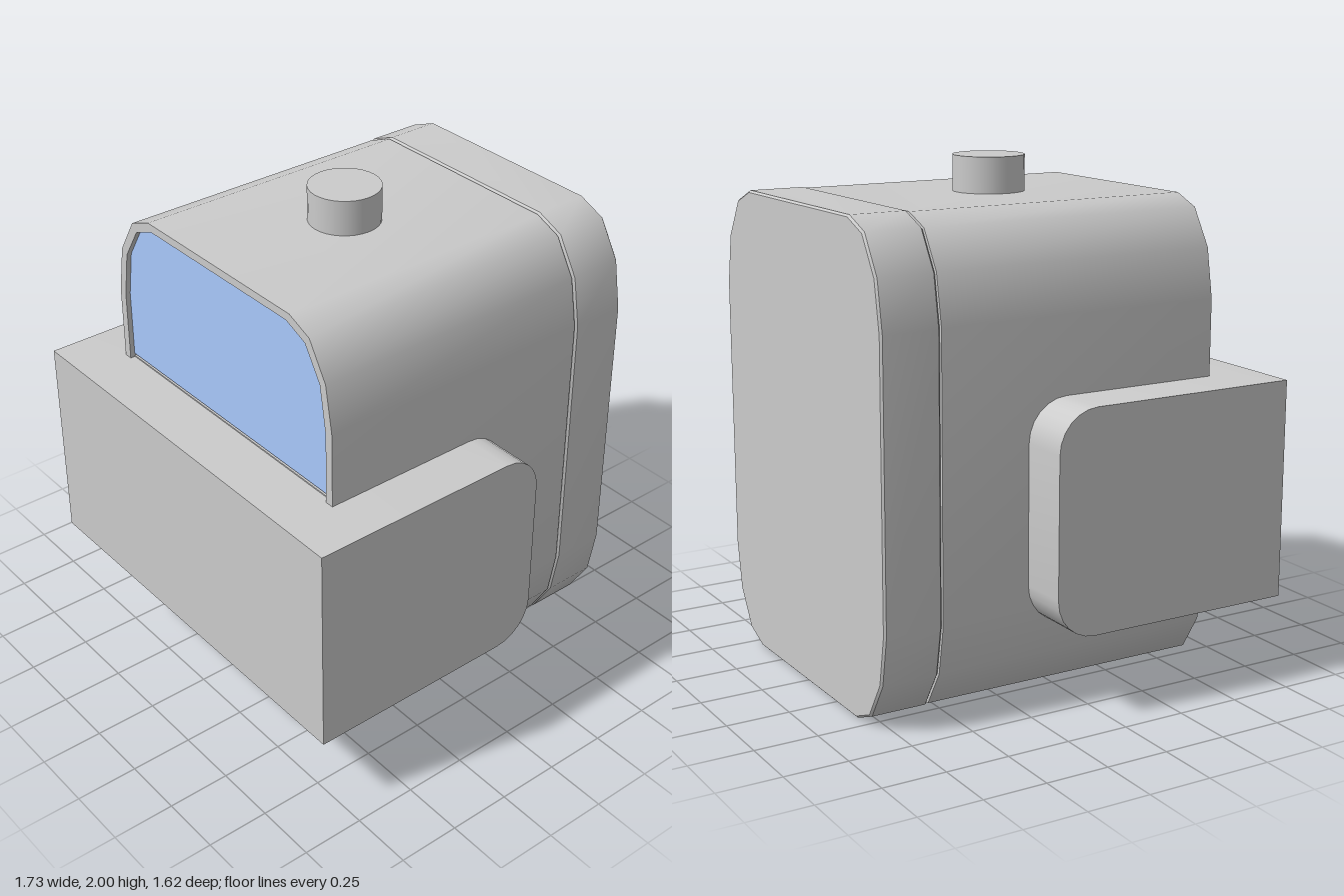
import * as THREE from 'three';
import { toCreasedNormals } from 'three/addons/utils/BufferGeometryUtils.js';

const MID = 0.9325; // height of the body's centre

// Upper right corner of the body outline and of its inner wall, from the side up
const OUTER = [[0.66, 1.48], [0.627, 1.672], [0.54, 1.815], [0.43, 1.86]];
const INNER = [[0.625, 1.47], [0.595, 1.657], [0.515, 1.785], [0.41, 1.828]];

const grey = new THREE.MeshStandardMaterial({ color: 0xcccccc });
const blue = new THREE.MeshStandardMaterial({ color: 0xa8c8fc });

const mirrorX = (pts) => pts.map(([x, y]) => [-x, y]).reverse();
const mirrorY = (pts) => pts.map(([x, y]) => [x, 2 * MID - y]).reverse();
const vectors = (pts) => pts.map(([x, y]) => new THREE.Vector2(x, y));

// Closed outline from one corner mirrored to all four
function outline(corner, grow = 0) {
  const c = corner.map(([x, y]) => [x + grow, y + grow]);
  const top = [...c, ...mirrorX(c)];
  return vectors([...top, ...mirrorY(top)]);
}

function extrude(shape, depth, z, options = {}) {
  const geo = new THREE.ExtrudeGeometry(shape, { depth, bevelEnabled: false, curveSegments: 4, ...options });
  return toCreasedNormals(geo.translate(0, 0, z), 0.75);
}

export function createModel() {
  const model = new THREE.Group();
  const add = (name, geometry, material = grey) => {
    const mesh = new THREE.Mesh(geometry, material);
    mesh.name = name;
    model.add(mesh);
    return mesh;
  };

  // Hollow body with an open front rim
  const shell = new THREE.Shape(outline(OUTER));
  shell.holes.push(new THREE.Path(outline(INNER)));
  add('bodyShell', extrude(shell, 1.17, -0.57));

  // Back cover, a touch larger, with a fine bevel on its edges
  const bevel = 0.008;
  add('backCover', extrude(new THREE.Shape(outline(OUTER, -0.004)), 0.235 - 2 * bevel, -0.81 + bevel, {
    bevelEnabled: true, bevelSize: bevel, bevelThickness: bevel, bevelSegments: 1,
  }));

  // Front panels set just inside the rim
  const arch = [...INNER, ...mirrorX(INNER)];
  const visorShape = new THREE.Shape(vectors([[0.625, 1.195], ...arch, [-0.625, 1.195]]));
  add('visor', extrude(visorShape, 0.04, 0.54), blue);
  const lowerShape = new THREE.Shape(vectors([[0.625, 1.185], [-0.625, 1.185], ...mirrorY(arch)]));
  add('lowerFrontPanel', extrude(lowerShape, 0.04, 0.54));

  // Wide front block, rounded at its rear edges, drawn in side view and extruded across
  const [back, front, low, high, r] = [-0.21, 0.81, 0.32, 1.18, 0.16];
  const side = new THREE.Shape();
  side.moveTo(-front, low);
  side.lineTo(-back - r, low);
  side.absarc(-back - r, low + r, r, -Math.PI / 2, 0);
  side.absarc(-back - r, high - r, r, 0, Math.PI / 2);
  side.lineTo(-front, high);
  const block = extrude(side, 1.73, -0.865, { curveSegments: 3 });
  add('frontBlock', block.rotateY(Math.PI / 2));

  // Round knob on top
  const knob = add('topKnob', new THREE.CylinderGeometry(0.14, 0.14, 0.15, 32));
  knob.position.set(0, 1.925, 0.01);

  return model;
}
